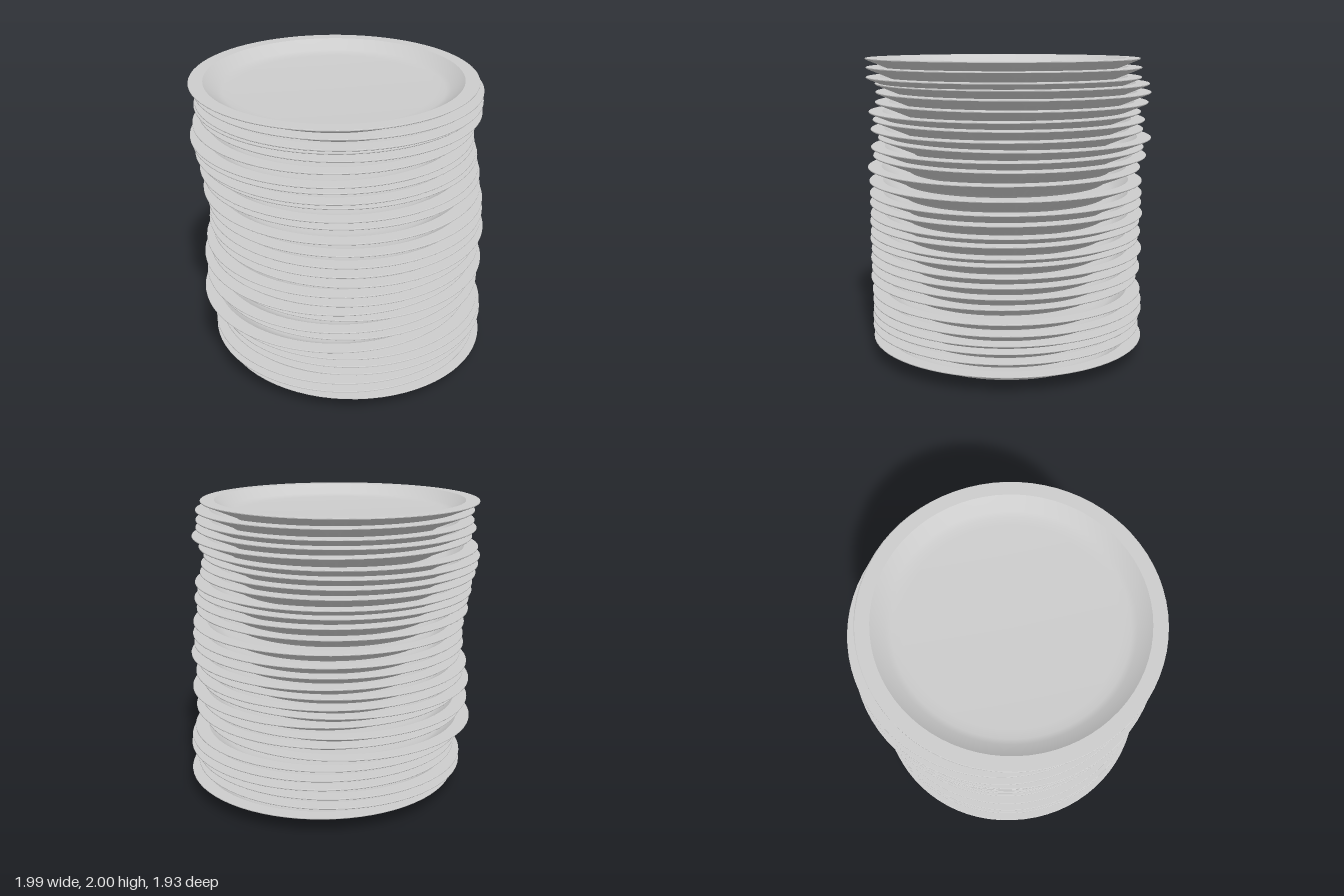
import * as THREE from 'three';
import { toCreasedNormals } from 'three/addons/utils/BufferGeometryUtils.js';

// Plate cross-section [radius, height]: underside out to the lip, then back in to the floor
const PROFILE = [
  [0, 0.005], [0.645, 0.005], [0.65, 0], [0.69, 0], [0.7, 0.012],
  [0.925, 0.104], [0.93, 0.108], [0.93, 0.113], [0.927, 0.115],
  [0.838, 0.115], [0.755, 0.054], [0.72, 0.044], [0.66, 0.04], [0, 0.04],
];
const PLATE_HEIGHT = 0.115;

// Each plate in the stack: [rim height, x offset, z offset]
const STACK = [
  [0.115, 0.064, 0.032], [0.18, 0.016, 0.032], [0.245, 0.016, 0.032], [0.31, 0.06, 0.032],
  [0.37, 0.053, 0.032], [0.435, 0.03, 0.032], [0.505, -0.048, 0.032], [0.59, 0.016, 0.032],
  [0.647, -0.024, 0.032], [0.725, 0.037, 0.032], [0.78, -0.032, 0.032], [0.837, 0.011, 0.032],
  [0.905, -0.011, 0.032], [0.968, 0.037, 0.032], [1.04, 0.016, 0.032], [1.105, 0.021, 0.032],
  [1.187, 0.016, 0.032], [1.277, -0.01, 0.037], [1.357, 0, 0], [1.412, -0.021, 0.011],
  [1.475, -0.01, -0.037], [1.53, -0.043, 0.008], [1.593, -0.053, -0.008], [1.645, -0.07, 0.016],
  [1.71, -0.043, -0.026], [1.78, 0, -0.026], [1.835, -0.027, -0.026], [1.877, -0.027, 0.032],
  [1.942, -0.027, 0.032], [2, -0.06, 0.032],
];

export function createModel() {
  const group = new THREE.Group();
  group.name = 'plateStack';
  const material = new THREE.MeshStandardMaterial({ color: 0xcccccc });

  // One plate shape shared by the whole stack
  const points = PROFILE.map(([r, y]) => new THREE.Vector2(r, y));
  const geometry = toCreasedNormals(new THREE.LatheGeometry(points, 72), THREE.MathUtils.degToRad(28));

  // Plates nested into each other, each nudged a little sideways
  STACK.forEach(([rim, x, z], i) => {
    const plate = new THREE.Mesh(geometry, material);
    plate.name = `plate${i + 1}`;
    plate.position.set(x, rim - PLATE_HEIGHT, z);
    group.add(plate);
  });
  return group;
}
